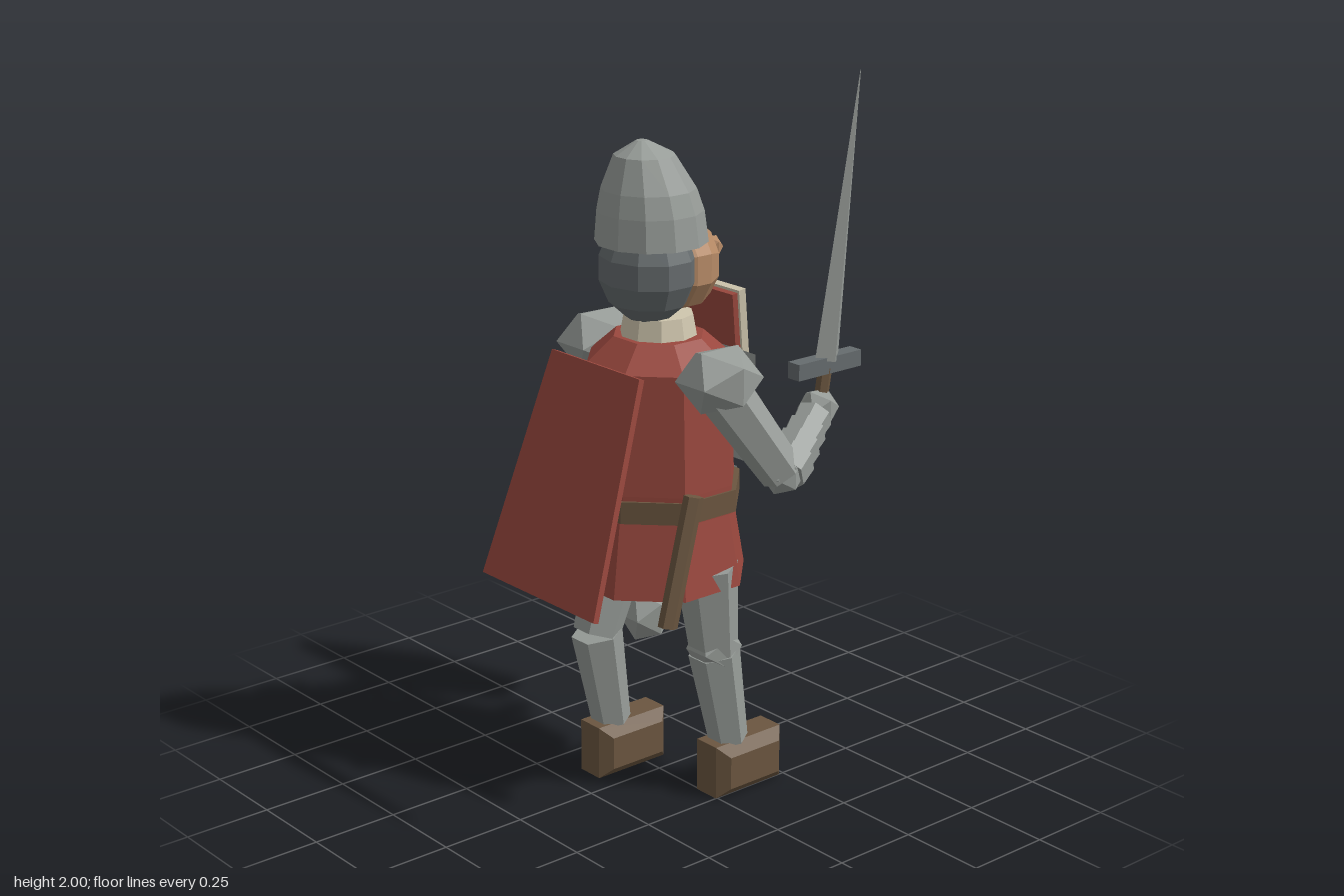
import * as THREE from 'three';

const STEEL = 0x979c98, DARK = 0x666c6e, RED = 0x9a483e, SKIN = 0xb68a66, BROWN = 0x6b5640, CREAM = 0xcfc6ae;
const V = (x, y, z) => new THREE.Vector3(x, y, z);

export function createModel() {
  const root = new THREE.Group();
  root.name = 'knight';

  const add = (name, geo, color, pos = [0, 0, 0], parent = root) => {
    const mat = new THREE.MeshStandardMaterial({ color, flatShading: true, side: THREE.DoubleSide });
    const mesh = new THREE.Mesh(geo, mat);
    mesh.name = name;
    mesh.position.set(...pos);
    parent.add(mesh);
    return mesh;
  };
  // faceted turned shape, flat side toward +x
  const turned = (pts, sides) => new THREE.LatheGeometry(
    pts.map(([r, y]) => new THREE.Vector2(r, y)), sides, Math.PI / sides);
  // tapered prism between two points
  const limb = (name, a, b, ra, rb, color = STEEL, sides = 6) => {
    const dir = b.clone().sub(a);
    const m = add(name, new THREE.CylinderGeometry(rb, ra, dir.length(), sides), color,
      a.clone().add(b).multiplyScalar(0.5).toArray());
    m.quaternion.setFromUnitVectors(V(0, 1, 0), dir.normalize());
    return m;
  };
  const ball = (name, pos, [rx, ry, rz], color = STEEL) =>
    add(name, new THREE.IcosahedronGeometry(1, 0).scale(rx, ry, rz), color, pos);
  // flat plate facing +x, outline given as (across, up)
  const plate = (outline, depth, hole) => {
    const shape = new THREE.Shape(outline.map(p => new THREE.Vector2(...p)));
    if (hole) shape.holes.push(new THREE.Path(hole.map(p => new THREE.Vector2(...p))));
    return new THREE.ExtrudeGeometry(shape, { depth, bevelEnabled: false }).rotateY(Math.PI / 2);
  };
  // block with chamfered edges, size includes the chamfer
  const chamfered = (lx, ly, lz, c) => {
    const x = lx / 2 - c, y = ly / 2 - c;
    const s = new THREE.Shape([[-x, -y], [x, -y], [x, y], [-x, y]].map(p => new THREE.Vector2(...p)));
    return new THREE.ExtrudeGeometry(s, {
      depth: lz - 2 * c, bevelThickness: c, bevelSize: c, bevelSegments: 1
    }).translate(0, 0, c - lz / 2);
  };

  // head: helmet leans back toward its tip
  const helmet = turned([[0, 1.575], [0.152, 1.575], [0.143, 1.66], [0.127, 1.72], [0.082, 1.81], [0.016, 1.848], [0, 1.85]], 12);
  const hp = helmet.attributes.position;
  for (let i = 0; i < hp.count; i++) {
    const t = (hp.getY(i) - 1.575) / 0.275;
    hp.setX(i, hp.getX(i) - 0.032 * t * t);
  }
  add('helmet', helmet, STEEL, [-0.07, 0, 0.05]);
  add('mailCoif', new THREE.SphereGeometry(1, 10, 7).scale(0.128, 0.15, 0.143), DARK, [-0.085, 1.505, 0.052]);
  add('face', new THREE.SphereGeometry(1, 10, 7).rotateZ(-Math.PI / 2).scale(0.11, 0.132, 0.115), SKIN, [0.022, 1.5, 0.053]);
  ball('nose', [0.14, 1.525, 0.053], [0.03, 0.034, 0.034], SKIN);
  add('collar', new THREE.CylinderGeometry(0.095, 0.108, 0.07, 10), CREAM, [-0.045, 1.34, 0.05]);

  // tunic
  add('tunic', turned([[0.215, 0.84], [0.215, 0.92], [0.2, 1.25], [0.125, 1.318], [0, 1.318]], 8).scale(1, 1, 1.04),
    RED, [-0.045, 0, 0.05]);
  add('skirt', turned([[0, 0.66], [0.253, 0.637], [0.215, 0.86]], 8), RED, [-0.05, 0, 0.05]);
  add('belt', new THREE.CylinderGeometry(0.23, 0.23, 0.062, 8, 1, false, Math.PI / 8), BROWN, [-0.04, 0.876, 0.05]);
  add('buckle', new THREE.BoxGeometry(0.025, 0.06, 0.065), DARK, [0.17, 0.876, 0.085]);
  add('pouch', chamfered(0.11, 0.14, 0.09, 0.025), BROWN, [-0.02, 0.79, -0.2]);
  const breast = new THREE.ConeGeometry(0.17 * Math.SQRT2, 0.095, 4).rotateY(Math.PI / 4)
    .rotateZ(-Math.PI / 2).scale(1, 0.92, 1);
  add('breastplate', breast, STEEL, [0.2, 1.1, 0.05]);

  // cape
  const cape = add('cape', plate([[-0.183, 0], [0.183, 0], [0.24, -0.64], [-0.24, -0.64]], 0.018), RED, [-0.265, 1.272, 0.05]);
  cape.rotation.z = -0.325;

  // arms, s = +1 is the sword arm
  const arm = (side, shoulder, elbow, hand, handR) => {
    ball(side + 'Pauldron', shoulder.toArray(), [0.122, 0.097, 0.112]);
    limb(side + 'UpperArm', shoulder.clone().add(V(0, -0.02, 0)), elbow, 0.073, 0.06);
    ball(side + 'Elbow', elbow.toArray(), [0.06, 0.06, 0.06]);
    // overlapping forearm bands
    for (let i = 0; i < 4; i++) {
      const a = elbow.clone().lerp(hand, i * 0.21), b = elbow.clone().lerp(hand, i * 0.21 + 0.24);
      limb(side + 'ForearmBand' + (i + 1), a, b, 0.062 - i * 0.005, 0.068 - i * 0.005, STEEL, 7);
    }
    ball(side + 'Gauntlet', hand.toArray(), [handR, handR, handR]);
  };
  arm('sword', V(-0.048, 1.245, 0.3), V(0.1, 0.975, 0.39), V(0.322, 1.09, 0.29), 0.058);
  arm('shield', V(-0.048, 1.245, -0.2), V(0.065, 0.985, -0.29), V(0.215, 1.085, -0.22), 0.053);

  // sword
  limb('swordGrip', V(0.318, 1.02, 0.288), V(0.347, 1.2, 0.288), 0.02, 0.02, BROWN);
  ball('swordPommel', [0.314, 1.015, 0.288], [0.03, 0.03, 0.03], DARK);
  add('swordGuard', new THREE.BoxGeometry(0.232, 0.046, 0.044), DARK, [0.348, 1.208, 0.285]);
  limb('swordBlade', V(0.352, 1.22, 0.287), V(0.455, 2, 0.287), 0.043, 0.001, STEEL, 4).scale.z = 0.8;

  // shield: board with a raised rim
  const outline = k => [[-0.235 + k, -k], [0.235 - k, -k], [0.207 - k, -0.452 + k * 0.5], [0, -0.64 + k * 1.25], [-0.207 + k, -0.452 + k * 0.5]];
  const shield = new THREE.Group();
  shield.name = 'shield';
  shield.position.set(0.25, 1.37, -0.212);
  shield.rotation.z = 0.14;
  root.add(shield);
  add('shieldBoard', plate(outline(0.008), 0.03), RED, [0, 0, 0], shield);
  add('shieldRim', plate(outline(0), 0.024, outline(0.02)), CREAM, [0.018, 0, 0], shield);

  // scabbard at the hip
  limb('scabbard', V(-0.215, 0.585, 0.288), V(-0.125, 0.935, 0.288), 0.03, 0.03, BROWN).scale.z = 0.75;

  // legs and boots
  const leg = (side, z, hip, knee, ankle, cap, bootX) => {
    limb(side + 'Thigh', V(hip, 0.69, z), V(knee, 0.43, z), 0.088, 0.068);
    limb(side + 'Shin', V(knee, 0.43, z), V(ankle, 0.15, z), 0.073, 0.056);
    ball(side + 'KneeCap', [cap, 0.44, z], [0.078, 0.085, 0.078]);
    add(side + 'Boot', chamfered(0.24, 0.155, 0.14, 0.03), BROWN, [bootX, 0.0775, z]);
  };
  leg('front', 0.21, -0.01, 0.02, 0.075, 0.02, 0.115);
  leg('rear', -0.1, -0.06, -0.145, -0.095, 0.035, -0.053);

  return root;
}
